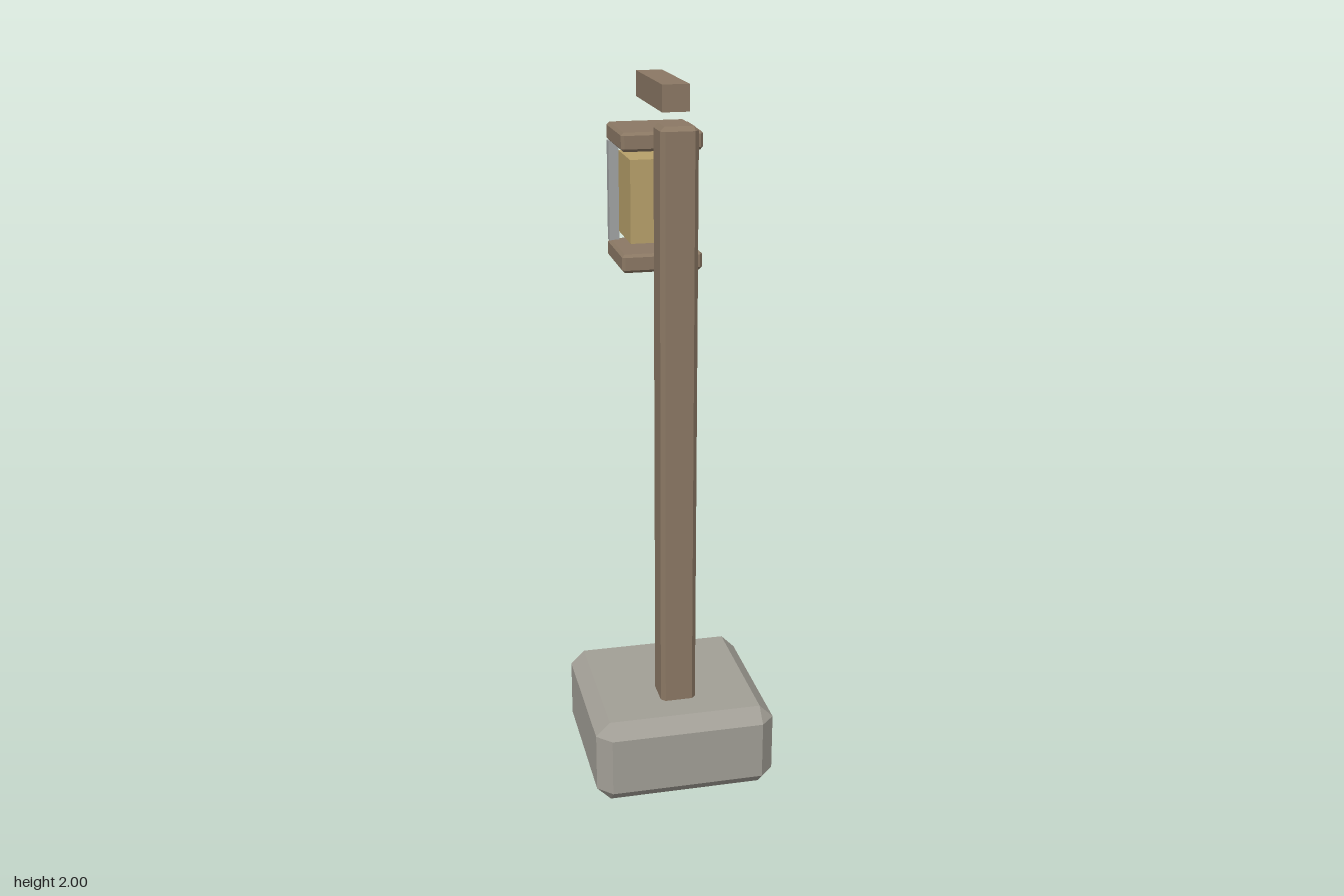
import * as THREE from 'three';
import { ConvexGeometry } from 'three/addons/geometries/ConvexGeometry.js';

// Box given by its centre and size, with every edge cut by a flat chamfer c
function chamferBox(w, h, d, c) {
  const points = [];
  for (const sx of [-1, 1]) for (const sy of [-1, 1]) for (const sz of [-1, 1]) {
    const x = w / 2, y = h / 2, z = d / 2;
    points.push(
      new THREE.Vector3(sx * x, sy * (y - c), sz * (z - c)),
      new THREE.Vector3(sx * (x - c), sy * y, sz * (z - c)),
      new THREE.Vector3(sx * (x - c), sy * (y - c), sz * z)
    );
  }
  return new ConvexGeometry(points);
}

function material(name, color) {
  const m = new THREE.MeshStandardMaterial({ color });
  m.name = name;
  return m;
}

export function createModel() {
  const group = new THREE.Group();
  group.name = 'lanternPost';

  const stone = material('stone', 0xa29f96);
  const wood = material('wood', 0x8b7864);
  const metal = material('metal', 0xa2a4a4);
  const glow = material('amberGlass', 0xb7a06a);

  const add = (parent, name, geometry, mat, x, y, z) => {
    const mesh = new THREE.Mesh(geometry, mat);
    mesh.name = name;
    mesh.position.set(x, y, z);
    parent.add(mesh);
  };

  // Stone footing and timber post
  add(group, 'base', chamferBox(0.52, 0.25, 0.52, 0.04), stone, 0, 0.125, 0.02);
  add(group, 'post', chamferBox(0.102, 1.68, 0.102, 0.012), wood, 0, 1.06, 0.104);

  // Arm reaching back over the lantern
  add(group, 'arm', new THREE.BoxGeometry(0.073, 0.07, 0.333), wood, 0, 1.965, -0.064);

  // Lantern: two caps, glass block and the two rear bars
  const lantern = new THREE.Group();
  lantern.name = 'lantern';
  lantern.position.z = -0.168;
  group.add(lantern);
  const cap = chamferBox(0.226, 0.052, 0.226, 0.008);
  add(lantern, 'topCap', cap, wood, 0, 1.831, 0);
  add(lantern, 'bottomCap', cap, wood, 0, 1.5, 0);
  add(lantern, 'glass', new THREE.BoxGeometry(0.168, 0.23, 0.168), glow, 0, 1.665, 0);
  const bar = new THREE.BoxGeometry(0.028, 0.282, 0.028);
  for (const side of [-1, 1]) {
    add(lantern, side > 0 ? 'leftBar' : 'rightBar', bar, metal, side * 0.098, 1.665, -0.098);
  }

  return group;
}
